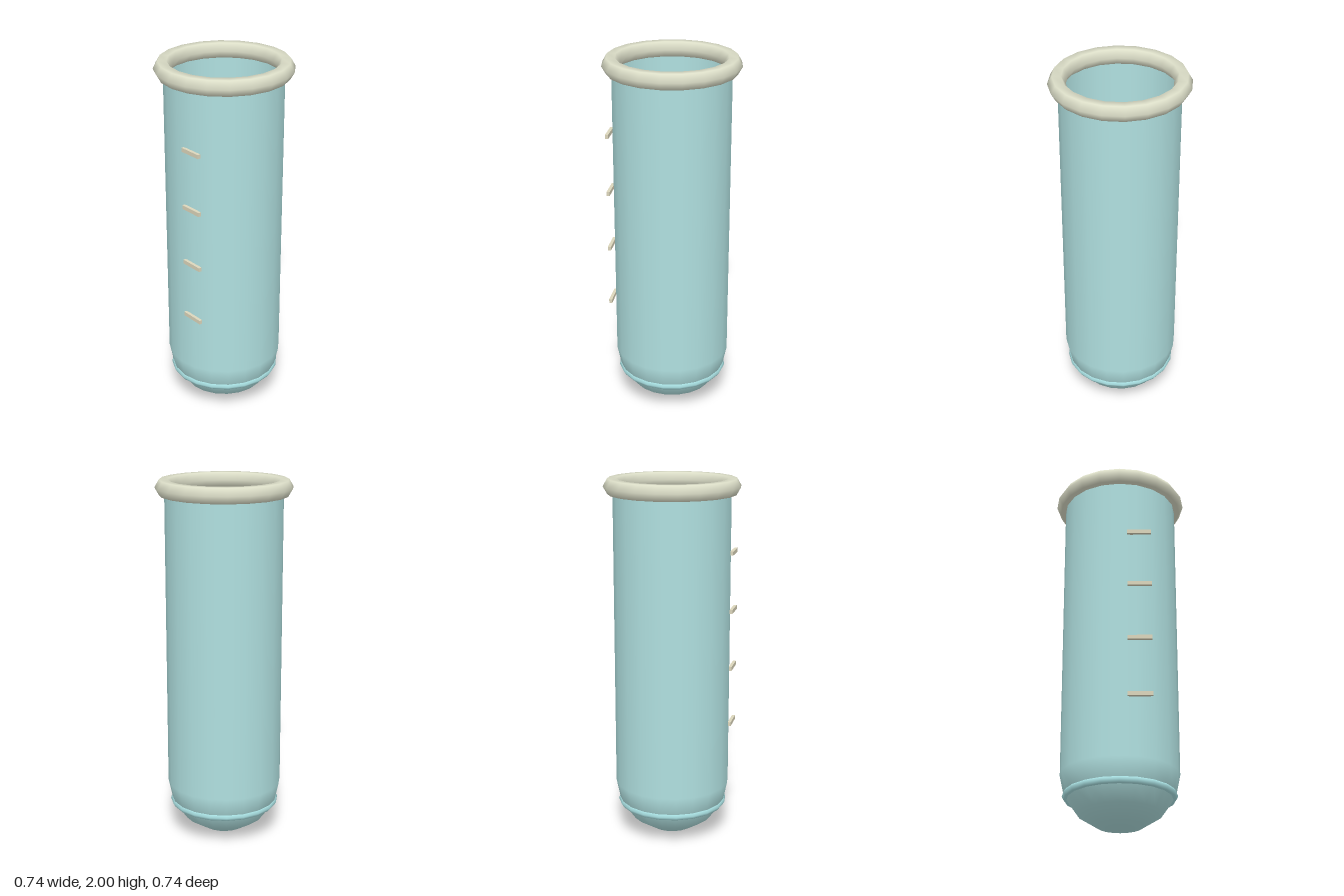
import * as THREE from 'three';

const glass = new THREE.MeshStandardMaterial({ color: 0xb0e0e0, side: THREE.DoubleSide });
glass.name = 'paleTealGlass';
const ringGlass = new THREE.MeshStandardMaterial({ color: 0xaae2e4 });
ringGlass.name = 'brightTealGlass';
const cream = new THREE.MeshStandardMaterial({ color: 0xdcdec8 });
cream.name = 'creamRim';
const tan = new THREE.MeshStandardMaterial({ color: 0xdcd6bc });
tan.name = 'tanMarking';

const RADIUS = 0.318;
const BASE_Y = 0.3;
const RIM_Y = 1.959;

function add(group, name, geometry, material, x = 0, y = 0, z = 0) {
  const mesh = new THREE.Mesh(geometry, material);
  mesh.name = name;
  mesh.position.set(x, y, z);
  group.add(mesh);
  return mesh;
}

// Horizontal ring with a six-sided section
function ring(radius, tube) {
  return new THREE.TorusGeometry(radius, tube, 6, 20).rotateX(Math.PI / 2);
}

export function createModel() {
  const model = new THREE.Group();
  model.name = 'testTube';

  // Open tube wall
  const height = RIM_Y - BASE_Y;
  add(model, 'tubeWall', new THREE.CylinderGeometry(RADIUS, RADIUS, height, 20, 1, true),
    glass, 0, BASE_Y + height / 2, 0);

  // Rounded end; its upper half makes the dome seen inside the tube
  const end = new THREE.SphereGeometry(RADIUS, 20, 8).scale(1, BASE_Y / RADIUS, 1);
  add(model, 'roundedEnd', end, glass, 0, BASE_Y, 0);

  // Thick lip and thin ring around the rounded end
  add(model, 'rim', ring(0.322, 0.0475), cream, 0, RIM_Y, 0);
  add(model, 'lowerRing', ring(0.284, 0.021), ringGlass, 0, 0.184, 0);

  // Evenly spaced measuring marks on the front
  for (let i = 0; i < 4; i++) {
    add(model, 'measuringMark' + (i + 1), new THREE.BoxGeometry(0.132, 0.022, 0.017),
      tan, 0.11, 0.634 + i * 0.322, 0.317);
  }
  return model;
}
